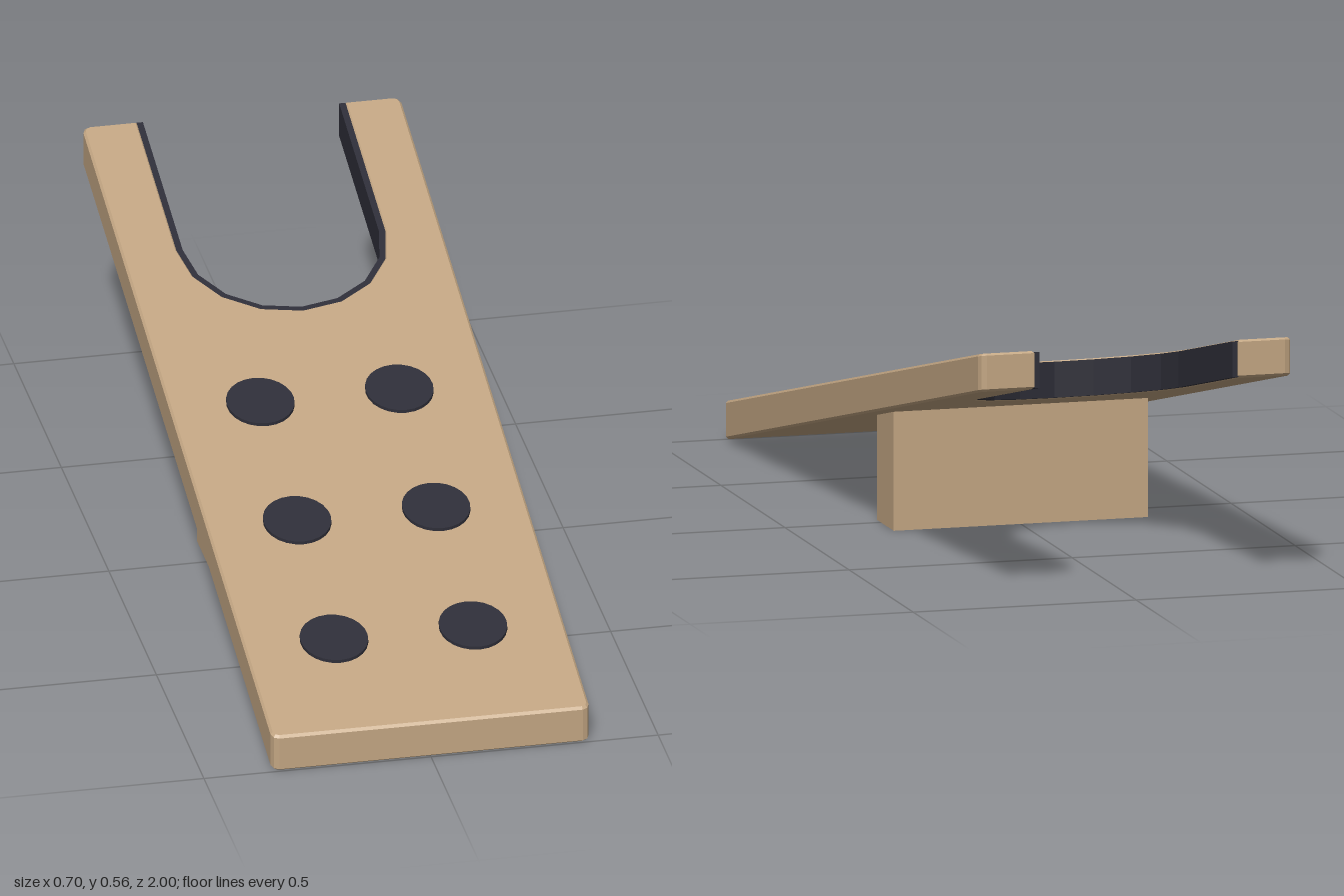
import * as THREE from 'three';

const SLOPE = 0.2375;   // rise of the board per unit of depth
const THICK = 0.084;    // vertical thickness of the board
const NOTCH_Z = -0.58;  // centre of the round end of the notch

// Tilt by shearing, so that the end faces stay vertical
function shear(geometry) {
  const p = geometry.attributes.position;
  for (let i = 0; i < p.count; i++) p.setY(i, p.getY(i) + (1 - p.getZ(i)) * SLOPE);
  geometry.computeVertexNormals();
  return geometry;
}

// Extrude a plan outline, given as [x, z] points, upwards from height y
function slab(points, y, height, bevel) {
  const shape = new THREE.Shape(points.map(([x, z]) => new THREE.Vector2(x, -z)));
  const geometry = new THREE.ExtrudeGeometry(shape, {
    depth: height - 2 * bevel,
    bevelEnabled: bevel > 0,
    bevelThickness: bevel,
    bevelSize: bevel,
    bevelSegments: 1,
  });
  geometry.rotateX(-Math.PI / 2).translate(0, y + bevel, 0);
  return shear(geometry);
}

// U-shaped notch line from the +x tip round to the -x tip
function notchLine(radius, endZ) {
  const points = [[radius, endZ]];
  for (let i = 0; i <= 8; i++) {
    const a = (i / 8) * Math.PI;
    points.push([radius * Math.cos(a), NOTCH_Z + radius * Math.sin(a)]);
  }
  points.push([-radius, endZ]);
  return points;
}

export function createModel() {
  const wood = new THREE.MeshStandardMaterial({ color: 0xc2a582 });
  wood.name = 'wood';
  const rubber = new THREE.MeshStandardMaterial({ color: 0x2e2e38 });
  rubber.name = 'rubber';

  const model = new THREE.Group();
  model.name = 'bootJack';
  const add = (name, geometry, material) => {
    const mesh = new THREE.Mesh(geometry, material);
    mesh.name = name;
    model.add(mesh);
    return mesh;
  };

  // Forked board with softened corners and edges
  const b = 0.005, w = 0.35 - b, e = 1 - b, c = 0.012;
  const outline = [
    ...notchLine(0.228 + b, -e),
    [-w + c, -e], [-w + c * 0.3, -e + c * 0.3], [-w, -e + c],
    [-w, e - c], [-w + c * 0.3, e - c * 0.3], [-w + c, e],
    [w - c, e], [w - c * 0.3, e - c * 0.3], [w, e - c],
    [w, -e + c], [w - c * 0.3, -e + c * 0.3], [w - c, -e],
  ];
  add('board', slab(outline, 0, THICK, b), wood);

  // Rubber lining of the notch
  const lining = [...notchLine(0.216, -0.999), ...notchLine(0.23, -0.999).reverse()];
  add('notchLining', slab(lining, 0.002, THICK - 0.005, 0), rubber);

  // Round grip pads, two columns of three
  for (const z of [0.71, 0.322, -0.065]) {
    for (const x of [0.153, -0.153]) {
      const disc = new THREE.CylinderGeometry(0.074, 0.074, 0.009, 24).toNonIndexed();
      disc.translate(x, THICK + 0.0025, z);
      add(x > 0 ? 'gripPadLeft' : 'gripPadRight', shear(disc), rubber);
    }
  }

  // Support block, its top let into the board
  const block = add('supportBlock', new THREE.BoxGeometry(0.57, 0.29, 0.13), wood);
  block.position.set(0, 0.145, -0.035);

  return model;
}
